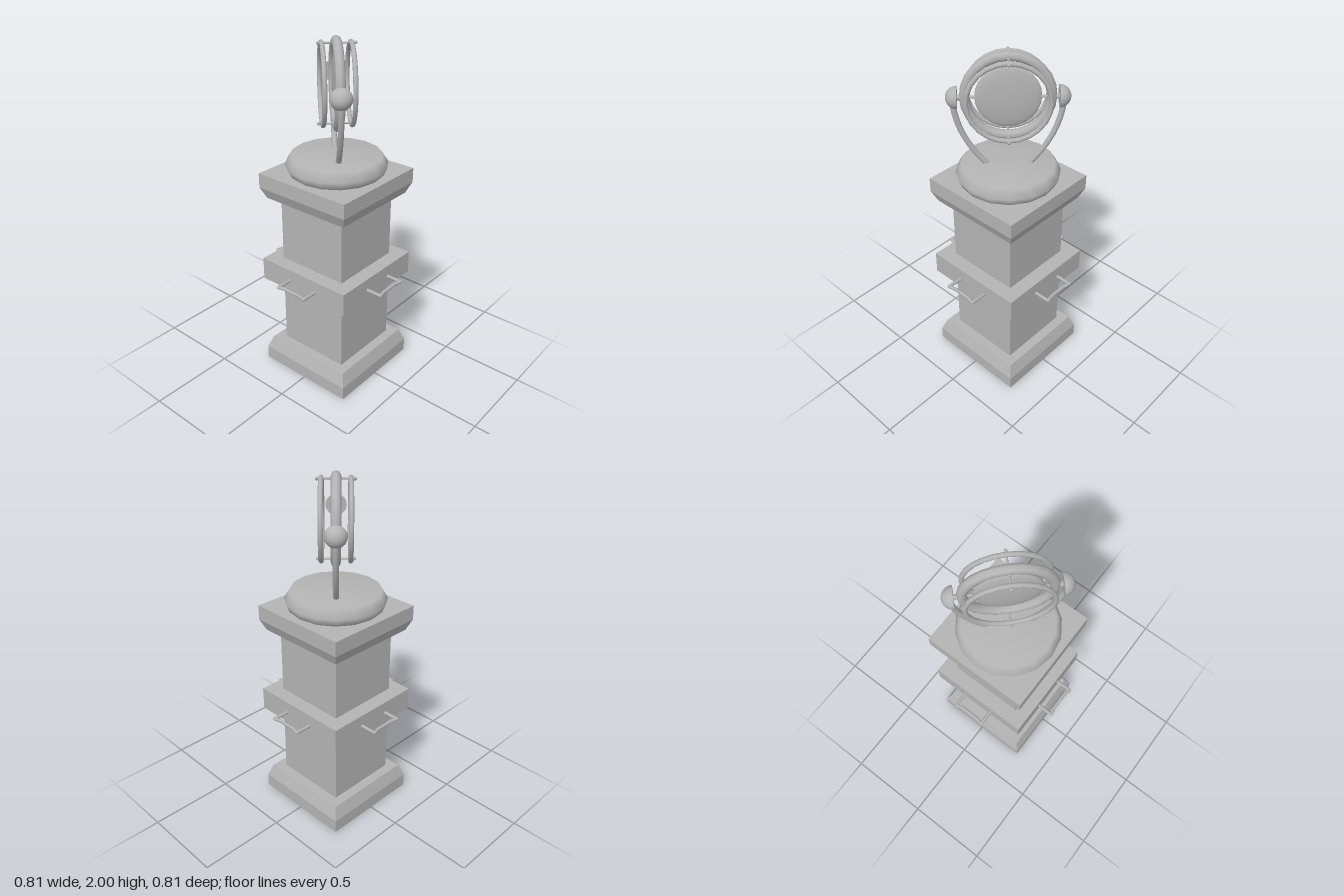
import * as THREE from 'three';

export function createModel() {
  const model = new THREE.Group();
  const stone = new THREE.MeshStandardMaterial({ color: 0xb4b4b4 });
  stone.name = 'grey';

  const add = (parent, name, geometry, x = 0, y = 0, z = 0) => {
    const mesh = new THREE.Mesh(geometry, stone);
    mesh.name = name;
    mesh.position.set(x, y, z);
    parent.add(mesh);
    return mesh;
  };

  // Square block whose half width may differ at bottom and top
  const block = (name, y0, y1, half0, half1 = half0) => {
    const g = new THREE.BoxGeometry(2, y1 - y0, 2);
    const p = g.attributes.position;
    for (let i = 0; i < p.count; i++) {
      const h = p.getY(i) > 0 ? half1 : half0;
      p.setX(i, p.getX(i) * h);
      p.setZ(i, p.getZ(i) * h);
    }
    g.computeVertexNormals();
    return add(model, name, g, 0, (y0 + y1) / 2);
  };

  // Round rod between two points
  const rod = (parent, name, a, b, r) => {
    const from = new THREE.Vector3(...a), to = new THREE.Vector3(...b);
    const dir = to.clone().sub(from);
    const mesh = add(parent, name, new THREE.CylinderGeometry(r, r, dir.length(), 8));
    mesh.position.copy(from).add(to).multiplyScalar(0.5);
    mesh.quaternion.setFromUnitVectors(new THREE.Vector3(0, 1, 0), dir.normalize());
    return mesh;
  };

  // Pedestal
  block('plinth', 0, 0.08, 0.304);
  block('plinthBevel', 0.08, 0.155, 0.304, 0.276);
  block('column', 0.15, 1.12, 0.22);
  block('middleBand', 0.585, 0.72, 0.304);
  block('capitalBevel', 1.11, 1.175, 0.276, 0.304);
  block('capital', 1.175, 1.26, 0.304);

  // Carrying handle on each side of the band
  const path = [[-0.095, 0.3], [-0.095, 0.395], [-0.05, 0.386], [0.05, 0.386], [0.095, 0.395], [0.095, 0.3]];
  for (let side = 0; side < 4; side++) {
    const handle = new THREE.Group();
    handle.name = 'handle';
    handle.position.y = 0.65;
    handle.rotation.y = side * Math.PI / 2;
    for (let i = 0; i < path.length - 1; i++) {
      const [a, b] = [path[i], path[i + 1]];
      rod(handle, 'handleBar', [a[0], 0, a[1]], [b[0], 0, b[1]], 0.01);
      if (i) add(handle, 'handleJoint', new THREE.SphereGeometry(0.01, 8, 6), a[0], 0, a[1]);
    }
    model.add(handle);
  }

  // Round dish on the capital
  const profile = [[0.25, 1.255], [0.27, 1.27], [0.286, 1.31], [0.255, 1.36], [0, 1.362]];
  add(model, 'dish', new THREE.LatheGeometry(profile.map(([r, y]) => new THREE.Vector2(r, y)), 16));

  // Mirror assembly: local x runs along the diagonal, local z is the ring axis
  const head = new THREE.Group();
  head.name = 'mirrorHead';
  head.position.y = 1.752;
  head.rotation.y = -Math.PI / 4;
  model.add(head);

  add(head, 'mainRing', new THREE.TorusGeometry(0.222, 0.027, 8, 24));
  add(head, 'mirrorDisc', new THREE.SphereGeometry(0.172, 24, 12)).scale.z = 0.14;

  for (const s of [-1, 1]) {
    add(head, 'outerRing', new THREE.TorusGeometry(0.215, 0.013, 8, 24), 0, 0, s * 0.077);
    rod(head, 'discPivot', [s * 0.165, 0, 0], [s * 0.2, 0, 0], 0.008);

    // Pins and knobs joining the thin rings to the main ring
    for (const t of [-1, 1]) {
      rod(head, 'ringPin', [0, t * 0.215, 0], [0, t * 0.215, s * 0.095], 0.006);
      add(head, 'pinKnob', new THREE.SphereGeometry(0.01, 8, 6), 0, t * 0.215, s * 0.096);
    }

    // Half-ball pivot cap with its flat face towards the ring
    const ball = new THREE.Group();
    ball.name = 'pivotCap';
    ball.position.x = s * 0.26;
    ball.rotation.z = -s * Math.PI / 2;
    add(ball, 'capDome', new THREE.SphereGeometry(0.059, 20, 8, 0, Math.PI * 2, 0, Math.PI / 2));
    add(ball, 'capFace', new THREE.CircleGeometry(0.059, 20)).rotation.x = Math.PI / 2;
    head.add(ball);
    rod(head, 'capPivot', [s * 0.235, 0, 0], [s * 0.265, 0, 0], 0.015);

    // Curved fork arm rising from the dish
    const curve = new THREE.CatmullRomCurve3(
      [[0.11, -0.405], [0.19, -0.3], [0.25, -0.18], [0.28, -0.06], [0.28, -0.005]]
        .map(([x, y]) => new THREE.Vector3(s * x, y, 0)));
    add(head, 'forkArm', new THREE.TubeGeometry(curve, 14, 0.016, 8));
  }

  return model;
}
